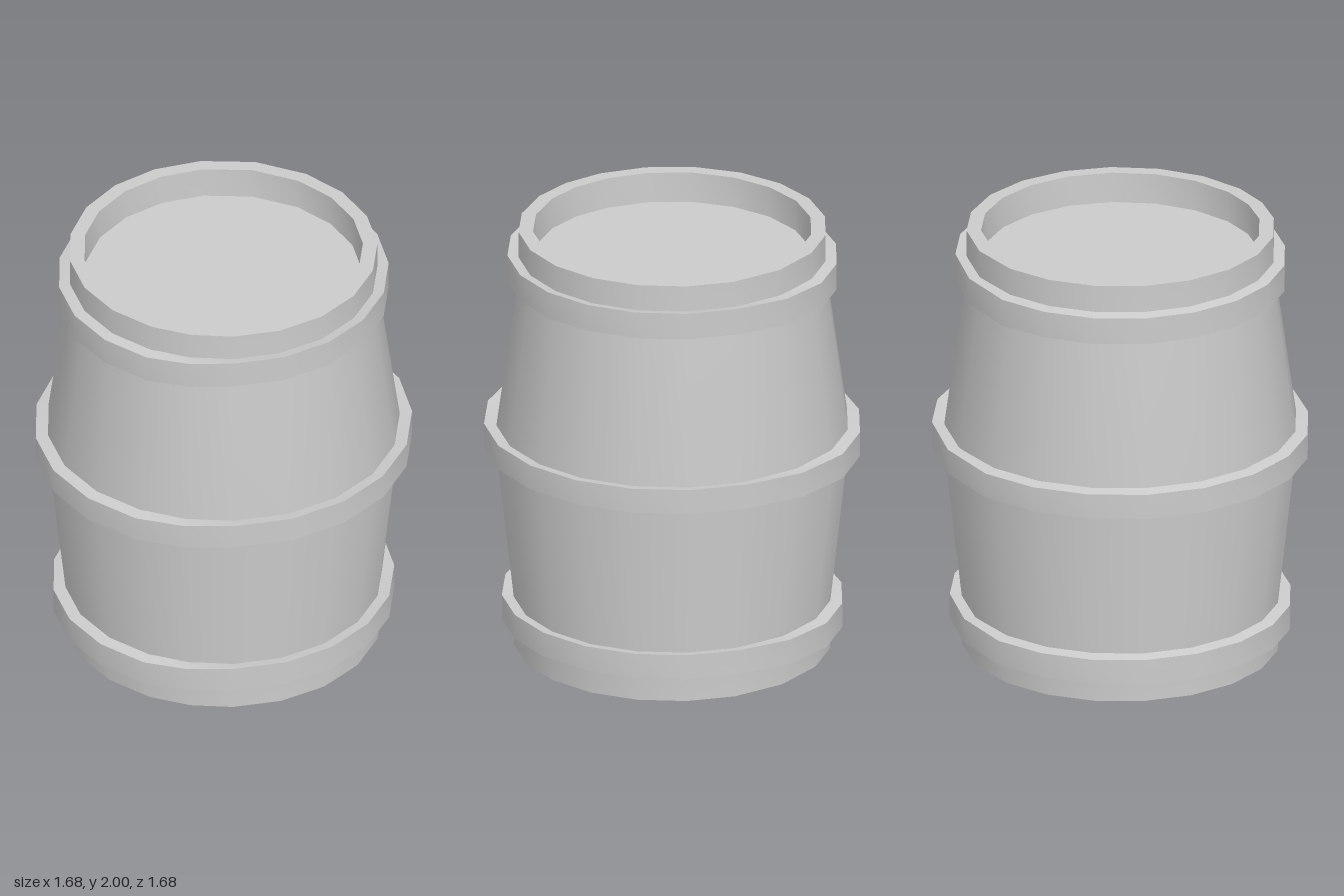
import * as THREE from 'three';
import { toCreasedNormals } from 'three/addons/utils/BufferGeometryUtils.js';

const material = new THREE.MeshStandardMaterial({ color: 0xcccccc });

// Twenty stave corners: two regular runs of nine, slightly twisted against
// each other, with one in-between corner at each seam.
// The hoops sit a little higher on the first run and lower on the second.
const corners = [];
const addCorner = (degrees, lift) => corners.push({ a: THREE.MathUtils.degToRad(degrees), lift });
for (let i = 0; i < 9; i++) addCorner(-82.5 + i * 18, 0.012);
addCorner(77, 0);
for (let i = 0; i < 9; i++) addCorner(92.7 + i * 18, -0.012);
addCorner(257.1, 0);

// Sweeps a profile of [radius, height, liftAmount] around the corners
function sweep(name, profile) {
  const positions = [];
  const point = (c, [r, y, lift = 0]) => [r * Math.cos(c.a), y + lift * c.lift, r * Math.sin(c.a)];
  corners.forEach((c, i) => {
    const next = corners[(i + 1) % corners.length];
    for (let j = 0; j < profile.length - 1; j++) {
      const p = profile[j], q = profile[j + 1];
      const A = point(c, p), B = point(c, q), C = point(next, q), D = point(next, p);
      if (q[0] > 0) positions.push(...A, ...B, ...C);
      if (p[0] > 0) positions.push(...A, ...C, ...D);
    }
  });
  const geometry = new THREE.BufferGeometry();
  geometry.setAttribute('position', new THREE.Float32BufferAttribute(positions, 3));
  const mesh = new THREE.Mesh(toCreasedNormals(geometry, 0.5), material);
  mesh.name = name;
  return mesh;
}

// Hoop band, its inner edge sunk slightly into the body
const hoop = (name, inner, outer, y0, y1) => sweep(name, [
  [inner, y0], [outer, y0, 1], [outer, y1, 1], [inner, y1],
]);

export function createModel() {
  const barrel = new THREE.Group();
  barrel.name = 'barrel';

  // Body with a recessed bottom and a recessed lid
  barrel.add(sweep('body', [
    [0, 0.13], [0.65, 0.13], [0.655, 0],
    [0.71, 0], [0.71, 0.22], [0.79, 0.95], [0.79, 1.065],
    [0.695, 1.75], [0.69, 1.88], [0.69, 2],
    [0.625, 2], [0.62, 1.86], [0, 1.86],
  ]));

  barrel.add(
    hoop('lowerHoop', 0.7, 0.765, 0.117, 0.233),
    hoop('middleHoop', 0.78, 0.845, 0.95, 1.066),
    hoop('upperHoop', 0.68, 0.74, 1.752, 1.876),
  );
  return barrel;
}
